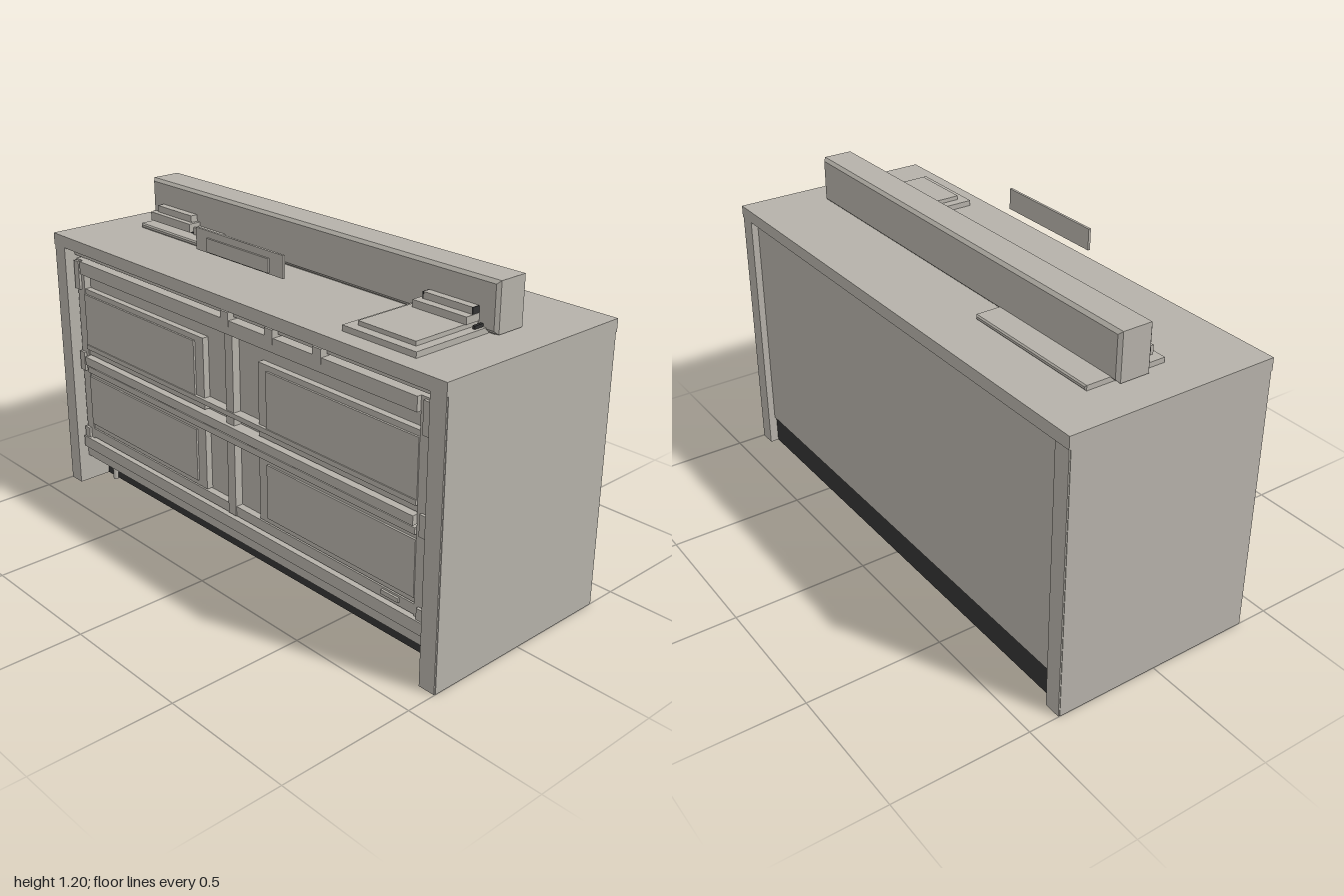
import * as THREE from 'three';

const steel = new THREE.MeshStandardMaterial({ color: 0xb5b1a9 });
steel.name = 'brushed steel';
const dark = new THREE.MeshStandardMaterial({ color: 0x333333 });
dark.name = 'dark plinth';

export function createModel() {
  const model = new THREE.Group();
  model.name = 'serviceCounter';

  // Box from its min and max on each axis
  const box = (name, x0, x1, y0, y1, z0, z1, mat = steel) => {
    const mesh = new THREE.Mesh(new THREE.BoxGeometry(x1 - x0, y1 - y0, z1 - z0), mat);
    mesh.position.set((x0 + x1) / 2, (y0 + y1) / 2, (z0 + z1) / 2);
    mesh.name = name;
    model.add(mesh);
  };
  // The same box on both sides of x = 0
  const pair = (name, x0, x1, ...rest) => {
    box(name + 'Left', x0, x1, ...rest);
    box(name + 'Right', -x1, -x0, ...rest);
  };
  // Box with chamfered edges
  const chamferBox = (name, x0, x1, y0, y1, z0, z1, b) => {
    const w = (x1 - x0) / 2 - b, h = (y1 - y0) / 2 - b;
    const s = new THREE.Shape();
    s.moveTo(-w, -h).lineTo(w, -h).lineTo(w, h).lineTo(-w, h).closePath();
    const geo = new THREE.ExtrudeGeometry(s, {
      depth: z1 - z0 - 2 * b, bevelEnabled: true, bevelSize: b, bevelThickness: b, bevelSegments: 1,
    });
    const mesh = new THREE.Mesh(geo, steel);
    mesh.position.set((x0 + x1) / 2, (y0 + y1) / 2, z0 + b);
    mesh.name = name;
    model.add(mesh);
  };

  // Worktop and hollow side gables with front and back flanges
  box('worktop', -1, 1, 0.98, 1.025, -0.39, 0.39);
  pair('sidePanel', 0.99, 1, 0, 0.98, -0.383, 0.383);
  pair('innerSidePanel', 0.935, 0.945, 0, 0.98, -0.375, 0.375);
  pair('sideCap', 0.945, 0.99, 0.015, 0.025, -0.375, 0.375);
  pair('frontFlange', 0.935, 0.998, 0, 0.98, 0.375, 0.388);
  pair('backFlange', 0.935, 0.998, 0, 0.98, -0.388, -0.375);

  // Carcass, leaving an open gap below the worktop
  box('carcass', -0.935, 0.935, 0.115, 0.96, -0.33, 0.325);
  box('backPanel', -0.935, 0.935, 0.11, 0.963, -0.362, -0.33);
  box('underTopTray', -0.79, -0.33, 0.955, 0.974, -0.2, 0.1, dark);

  // Dark plinth, open from below, and feet
  box('plinthDeck', -0.935, 0.935, 0.105, 0.115, -0.355, 0.3, dark);
  box('plinthFront', -0.935, 0.935, 0, 0.11, 0.245, 0.255, dark);
  box('plinthBack', -0.935, 0.935, 0, 0.11, -0.355, -0.345, dark);
  for (const x of [-0.87, 0.87]) for (const z of [-0.315, 0.265]) {
    const foot = new THREE.Mesh(new THREE.CylinderGeometry(0.01, 0.01, 0.045, 16), steel);
    foot.position.set(x, 0.0225, z);
    foot.name = 'foot';
    model.add(foot);
  }

  // Front frame: rails, stiles and mullion
  box('topRail', -0.87, 0.87, 0.887, 0.937, 0.325, 0.368);
  box('upperLip', -0.935, 0.935, 0.945, 0.963, 0.325, 0.345);
  for (const x of [-0.003, 0.22, 0.447])
    box('railBlock', x - 0.02, x + 0.02, 0.915, 0.965, 0.325, 0.37);
  box('middleRail', -0.87, 0.87, 0.522, 0.555, 0.325, 0.37);
  box('middleLipTop', -0.87, 0.87, 0.585, 0.603, 0.325, 0.36);
  box('middleLipBottom', -0.87, 0.87, 0.488, 0.512, 0.325, 0.36);
  box('lowerLip', -0.87, 0.87, 0.21, 0.247, 0.325, 0.352);
  box('bottomRail', -0.92, 0.92, 0.16, 0.205, 0.325, 0.368);
  box('baseRail', -0.935, 0.935, 0.108, 0.157, 0.3, 0.345);
  pair('stile', 0.87, 0.915, 0.16, 0.937, 0.325, 0.352);
  box('mullion', -0.022, 0.018, 0.21, 0.885, 0.325, 0.355);
  box('topShadowGap', -0.87, 0.87, 0.879, 0.886, 0.325, 0.33, dark);
  for (const [y0, y1] of [[0.16, 0.245], [0.49, 0.565], [0.82, 0.93]])
    pair('frameClip', 0.888, 0.918, y0, y1, 0.325, 0.362);

  // Four raised drawer fronts
  for (const [row, y0, y1, panelY] of [['upper', 0.56, 0.825, 0.603], ['lower', 0.25, 0.49, 0.27]]) {
    box(row + 'DrawerRight', -0.87, -0.15, y0, y1, 0.325, 0.349);
    box(row + 'DrawerRightPanel', -0.87, -0.195, panelY, y1 - 0.02, 0.34, 0.356);
    box(row + 'DrawerLeft', 0.143, 0.87, y0, y1, 0.325, 0.349);
    box(row + 'DrawerLeftPanel', 0.188, 0.87, panelY, y1 - 0.02, 0.34, 0.356);
  }
  box('latch', 0.735, 0.81, 0.225, 0.24, 0.35, 0.36);

  // Long raised bar on the worktop
  chamferBox('topBar', -0.865, 0.86, 1.03, 1.2, -0.108, 0.022, 0.011);
  box('barSeat', -0.84, 0.84, 1.025, 1.032, -0.09, 0.005);

  // Plate and stepped blocks at the right-hand end
  chamferBox('basePlate', -0.835, -0.283, 1.025, 1.043, -0.203, 0.105, 0.005);
  box('plateShadow', -0.82, -0.57, 1.043, 1.053, 0, 0.045, dark);
  box('lowerStep', -0.815, -0.575, 1.053, 1.085, 0, 0.07);
  box('upperStep', -0.797, -0.59, 1.085, 1.11, 0, 0.05);
  box('smallStep', -0.575, -0.427, 1.043, 1.07, 0, 0.052);
  box('stepCap', -0.82, -0.815, 1.055, 1.085, 0.015, 0.055, dark);

  // Tray and stepped blocks at the left-hand end
  box('tray', 0.51, 0.818, 1.025, 1.045, 0.01, 0.323);
  box('trayTop', 0.545, 0.785, 1.045, 1.06, 0.01, 0.29);
  box('trayStepLower', 0.568, 0.79, 1.06, 1.085, 0.01, 0.08);
  box('trayStepUpper', 0.587, 0.785, 1.085, 1.108, 0.01, 0.05);
  for (const x of [0.583, 0.785])
    box('trayStepCap', x, x + 0.004, 1.085, 1.108, 0.012, 0.051, dark);
  for (const x of [0.55, 0.802])
    box('traySideClip', x - 0.005, x + 0.005, 1.045, 1.056, 0.015, 0.06, dark);

  // Free-standing narrow plate near the front edge
  box('displayPlate', -0.225, 0.22, 1.115, 1.192, 0.296, 0.305);
  box('displayInset', -0.16, 0.155, 1.12, 1.168, 0.305, 0.312);

  return model;
}
